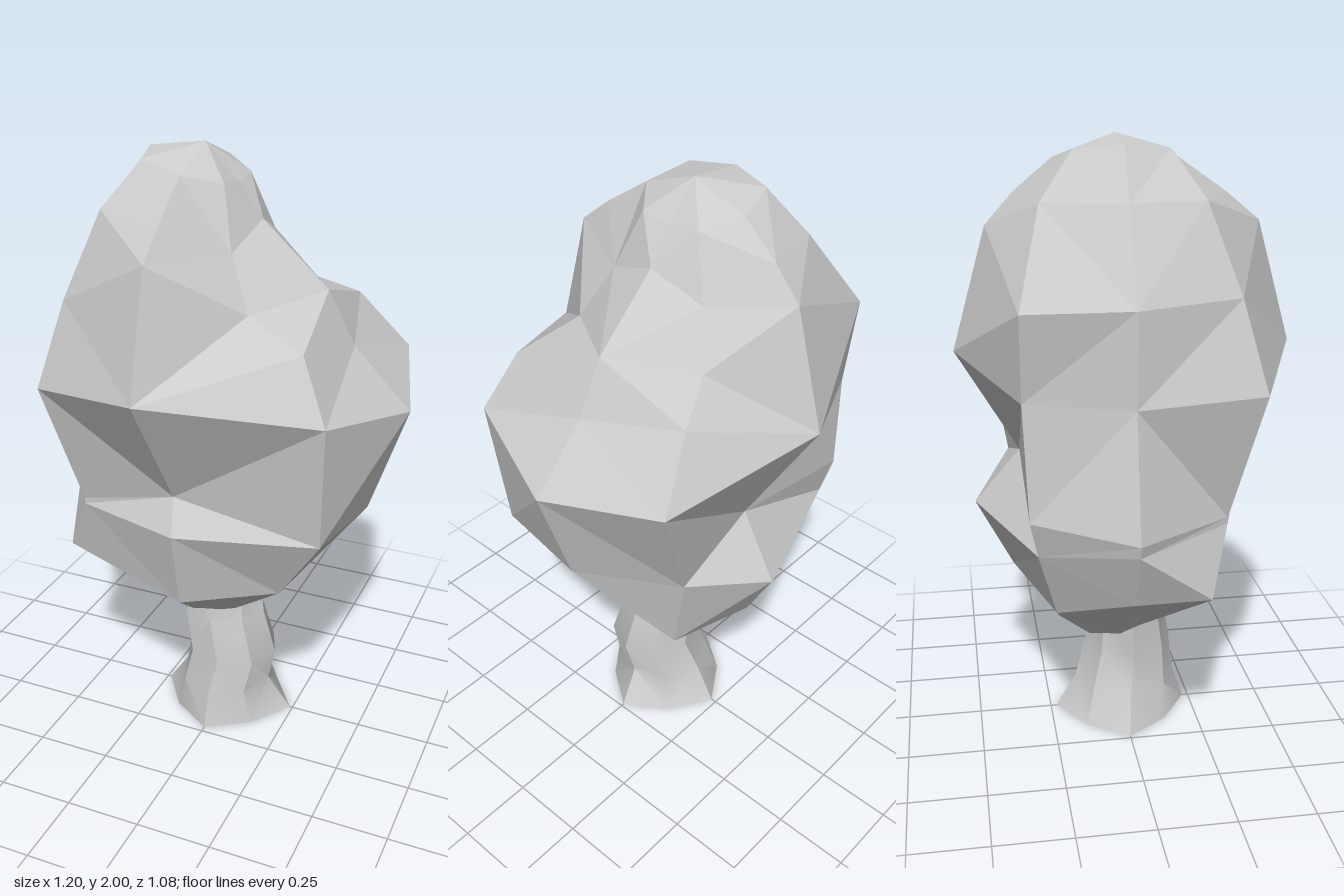
import * as THREE from 'three';
import { toCreasedNormals } from 'three/addons/utils/BufferGeometryUtils.js';

const V = (x, y, z) => new THREE.Vector3(x, y, z);

// Skins closed rings (listed top to bottom, each running from +x towards +z),
// closing the top and, if given, the bottom on a pole.
// Quads split along their shorter diagonal.
function skin(rings, top, bottom) {
  const pos = [];
  const tri = (...pts) => pts.forEach((p) => pos.push(p.x, p.y, p.z));
  const n = rings[0].length;
  const last = rings[rings.length - 1];
  for (let j = 0; j < n; j++) {
    const k = (j + 1) % n;
    tri(top, rings[0][k], rings[0][j]);
    for (let i = 0; i < rings.length - 1; i++) {
      const a = rings[i][j], b = rings[i][k], c = rings[i + 1][k], d = rings[i + 1][j];
      if (a.distanceTo(c) < b.distanceTo(d)) {
        tri(a, b, c);
        tri(a, c, d);
      } else {
        tri(a, b, d);
        tri(b, c, d);
      }
    }
    if (bottom) tri(bottom, last[j], last[k]);
  }
  const geo = new THREE.BufferGeometry();
  geo.setAttribute('position', new THREE.Float32BufferAttribute(pos, 3));
  geo.computeVertexNormals();
  return geo;
}

// Crown: eight meridians around an off-centre axis, each a heading in degrees
// and a profile of [radius, height, optional twist in degrees], top to bottom
const AXIS = { x: -0.09, z: -0.03 };
const MERIDIANS = [
  [0, [[0.19, 1.78], [0.41, 1.58], [0.50, 1.41], [0.69, 1.22], [0.57, 0.86], [0.34, 0.58]]],
  [36, [[0.24, 1.71, 12], [0.35, 1.55, 10], [0.55, 1.48], [0.67, 1.29], [0.62, 0.87, -3], [0.45, 0.63]]],
  [89, [[0.35, 1.82], [0.46, 1.73], [0.57, 1.34], [0.36, 0.96, -5], [0.43, 0.85, -7], [0.36, 0.57, -7]]],
  [136, [[0.34, 1.82], [0.47, 1.55], [0.57, 1.27], [0.44, 0.86], [0.44, 0.84], [0.48, 0.63, 14]]],
  [180, [[0.29, 1.82], [0.43, 1.54], [0.43, 1.25], [0.51, 0.86], [0.50, 0.82], [0.42, 0.63]]],
  [218, [[0.34, 1.82, 10], [0.54, 1.54], [0.50, 1.27, 3], [0.51, 0.91], [0.47, 0.79], [0.37, 0.56]]],
  [271, [[0.31, 1.83], [0.40, 1.73], [0.51, 1.34], [0.32, 0.98, 15], [0.475, 0.79, 14], [0.35, 0.57, 14]]],
  [325, [[0.24, 1.71, -12], [0.35, 1.55, -11], [0.53, 1.48, -4], [0.70, 1.29], [0.52, 0.88, -4], [0.45, 0.57]]],
];

function crownGeometry() {
  const polar = (r, y, a) => V(AXIS.x + r * Math.cos(a), y, AXIS.z + r * Math.sin(a));
  // tilted rings round off the tip and gather the underside around the trunk
  const tilted = (radius, height) =>
    MERIDIANS.map((_, j) => {
      const a = (j * Math.PI) / 4;
      return polar(radius(a), height(Math.cos(a)), a);
    });
  const tip = tilted((a) => 0.15 - 0.04 * Math.cos(a) + 0.04 * Math.abs(Math.sin(a)), (c) => 1.93 - 0.045 * c);
  const underside = tilted((a) => 0.16 + 0.05 * Math.cos(a) - 0.03 * Math.sin(a), (c) => 0.4 + 0.025 * c);
  const body = MERIDIANS[0][1].map((_, i) =>
    MERIDIANS.map(([heading, profile]) => {
      const [r, y, twist = 0] = profile[i];
      return polar(r, y, THREE.MathUtils.degToRad(heading + twist));
    })
  );
  return skin([tip, ...body, underside], V(AXIS.x, 2, AXIS.z), V(0, 0.42, AXIS.z));
}

// Trunk: eight-sided, open at the foot, with a slight bend; the foot flares
// most along the axes. Each section:
// height, centre x, centre z, radius x, radius z, scale of diagonal corners
const TRUNK = [
  [0.5, -0.01, 0.02, 0.14, 0.12, 1],
  [0.4, -0.01, 0.02, 0.15, 0.13, 1],
  [0.25, 0.03, 0.03, 0.16, 0.15, 1],
  [0.12, 0, 0.015, 0.16, 0.175, 1],
  [0, 0, 0, 0.24, 0.23, 0.84],
];

function trunkGeometry() {
  const rings = TRUNK.map(([y, cx, cz, rx, rz, diagonal]) =>
    Array.from({ length: 8 }, (_, j) => {
      const a = (j / 8) * Math.PI * 2;
      const s = j % 2 ? diagonal : 1;
      return V(cx + s * rx * Math.cos(a), y, cz + s * rz * Math.sin(a));
    })
  );
  return toCreasedNormals(skin(rings, V(0, 0.5, 0.02)), 0.7);
}

export function createModel() {
  const tree = new THREE.Group();
  tree.name = 'tree';
  const add = (name, geometry, options) => {
    const mesh = new THREE.Mesh(
      geometry,
      new THREE.MeshStandardMaterial({ color: 0xcccccc, ...options })
    );
    mesh.name = name;
    tree.add(mesh);
  };
  add('crown', crownGeometry(), { flatShading: true });
  add('trunk', trunkGeometry(), { side: THREE.DoubleSide });
  return tree;
}
